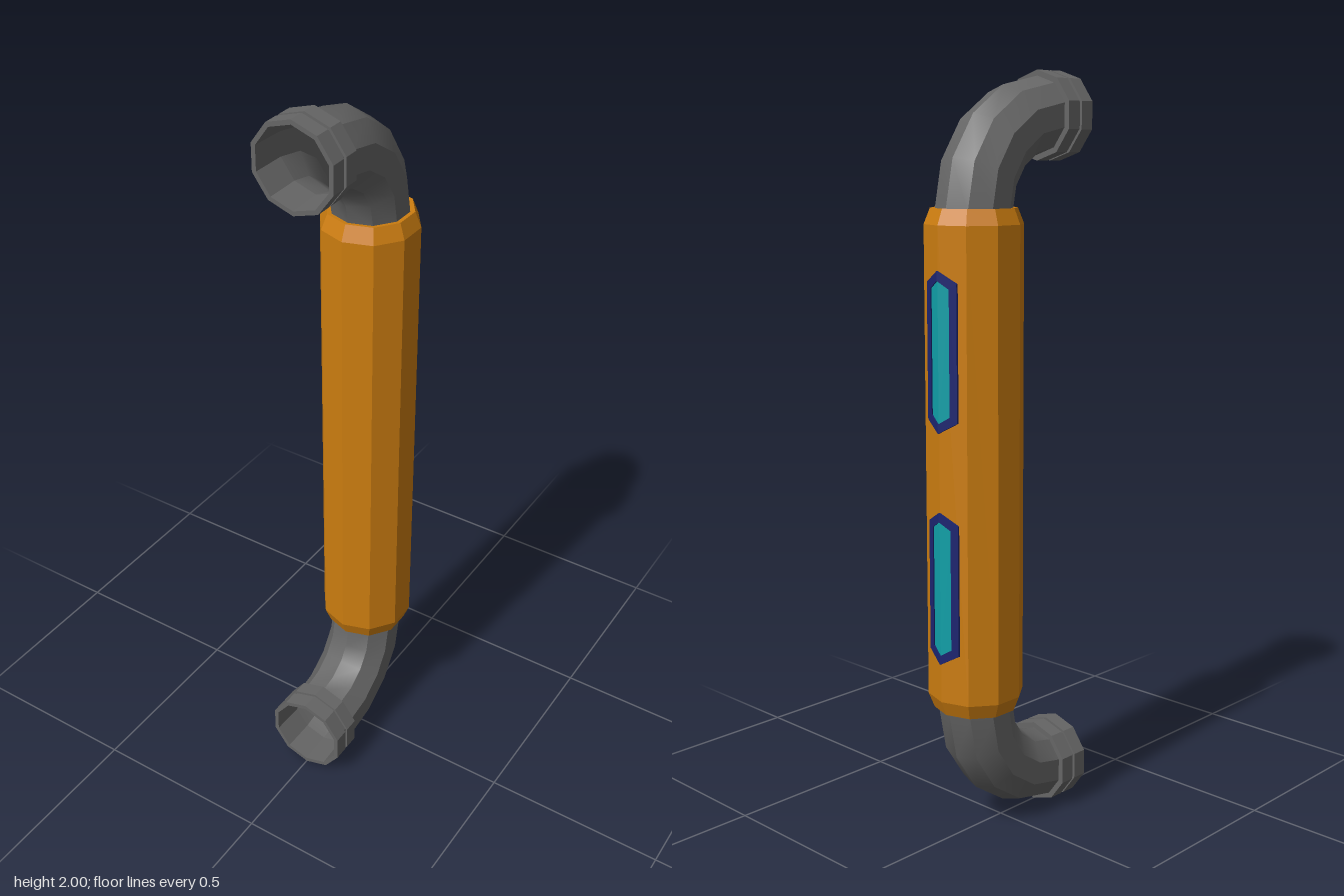
import * as THREE from 'three';
import { toCreasedNormals } from 'three/addons/utils/BufferGeometryUtils.js';

const SIDES = 10;
const AXIS_Z = -0.096;    // depth of the upright grip
const PIPE_R = 0.099;
const BEND_R = 0.231;
const GRIP_R = 0.127;
const SLOPE = Math.tan(Math.PI / SIDES); // slant of the faces beside the back ridge

const material = (color, extra = {}) => new THREE.MeshStandardMaterial({ color, ...extra });
const metal = material(0x666666, { side: THREE.DoubleSide });
const flatMetal = material(0x666666, { side: THREE.DoubleSide, flatShading: true });
const orange = material(0xcc7d10, { flatShading: true });
const navy = material(0x1c2470, { flatShading: true });
const cyan = material(0x10a0a8, { flatShading: true });

function part(name, geometry, mat) {
  const mesh = new THREE.Mesh(geometry, mat);
  mesh.name = name;
  return mesh;
}

function lathe(profile) {
  return new THREE.LatheGeometry(profile.map(([r, y]) => new THREE.Vector2(r, y)), SIDES);
}

// Quarter bend with a hollow, grooved collar facing forward
function createEnd(name) {
  const end = new THREE.Group();
  end.name = name;

  const bend = new THREE.TorusGeometry(BEND_R, PIPE_R, SIDES, 4, Math.PI / 2);
  bend.rotateY(Math.PI / 2);
  bend.translate(0, 1.655, AXIS_Z + BEND_R);
  end.add(part('bend', toCreasedNormals(bend, 0.55), metal));

  const collar = lathe([
    [0.099, 0.135], [0.114, 0.135], [0.114, 0.175], [0.107, 0.175], [0.107, 0.185],
    [0.114, 0.185], [0.114, 0.226], [0.102, 0.226], [0.099, 0.135],
  ]);
  collar.rotateX(Math.PI / 2);
  collar.translate(0, 1.886, 0);
  end.add(part('collar', collar, flatMetal));
  return end;
}

// Extrudes half an outline and folds it along the back ridge of the grip
function foldedHalf(points, height) {
  const shape = new THREE.Shape(points.map(([x, y]) => new THREE.Vector2(x, y)));
  const geometry = new THREE.ExtrudeGeometry(shape, { depth: height + 0.006, bevelEnabled: false });
  geometry.translate(0, 0, -0.006);
  const p = geometry.attributes.position;
  for (let i = 0; i < p.count; i++) p.setZ(i, p.getZ(i) - p.getX(i) * SLOPE);
  geometry.computeVertexNormals();
  return geometry;
}

// Long hexagonal window: raised frame with a recessed pane
function createWindow(y) {
  const group = new THREE.Group();
  group.name = 'window';
  const w = 0.052, h = 0.203, c = 0.03;     // outer half width, half height, corner drop
  const wi = 0.032, hi = 0.179, ci = 0.02;  // pane
  const outer = [[0, -h], [w, c - h], [w, h - c], [0, h]];
  const inner = [[0, -hi], [wi, ci - hi], [wi, hi - ci], [0, hi]];
  const frame = foldedHalf([...outer, ...inner.slice().reverse()], 0.005);
  const pane = foldedHalf(inner, 0.0015);
  for (const side of [1, -1]) {
    const half = new THREE.Group();
    half.name = side > 0 ? 'windowHalfA' : 'windowHalfB';
    half.add(part('windowFrame', frame, navy), part('windowPane', pane, cyan));
    half.scale.x = side;
    group.add(half);
  }
  group.rotation.y = Math.PI;
  group.position.set(0, y, AXIS_Z - GRIP_R);
  return group;
}

export function createModel() {
  const model = new THREE.Group();
  model.name = 'grabHandle';

  // Chamfered grip sleeve
  const sleeve = part('gripSleeve', lathe([
    [0.09, 0.352], [0.111, 0.35], [GRIP_R, 0.39], [GRIP_R, 1.62], [0.111, 1.66], [0.09, 1.658],
  ]), orange);
  sleeve.position.z = AXIS_Z;
  model.add(sleeve);

  // Straight tube inside the sleeve
  const tube = part('innerTube', new THREE.CylinderGeometry(PIPE_R, PIPE_R, 1.31, SIDES, 1, true), flatMetal);
  tube.position.set(0, 1, AXIS_Z);
  model.add(tube);

  // Upper end and its mirror image below
  const lower = createEnd('lowerEnd');
  lower.scale.y = -1;
  lower.position.y = 2;
  model.add(createEnd('upperEnd'), lower);

  // Two windows along the back ridge
  for (const y of [1.307, 0.697]) model.add(createWindow(y));

  return model;
}
